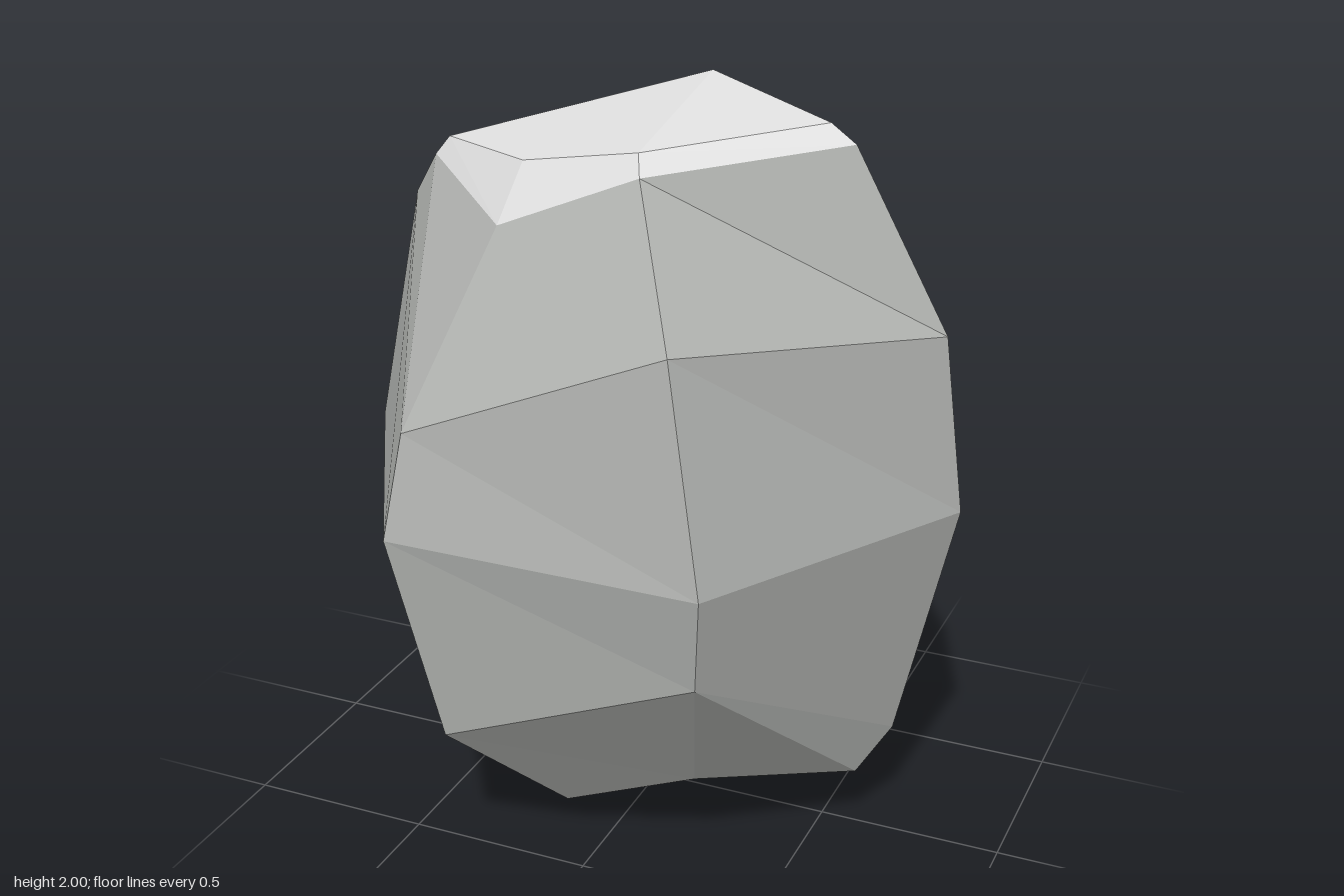
import * as THREE from 'three';

// Six-sided rings from top to bottom; each point is [x, y, z].
// Order around each ring: right, front right, front left, left, back left, back right.
const rings = [
  // rim of the top facet
  [[0.46, 1.955, 0], [0.09, 1.92, 0.32], [-0.24, 1.855, 0.275], [-0.57, 1.825, 0.045], [-0.31, 1.83, -0.41], [0.06, 2, -0.225]],
  // lower edge of the narrow bevel
  [[0.53, 1.91, 0.01], [0.11, 1.87, 0.36], [-0.27, 1.71, 0.365], [-0.61, 1.775, 0.05], [-0.31, 1.78, -0.455], [0.07, 1.965, -0.245]],
  // shoulder
  [[0.78, 1.45, 0], [0.31, 1.55, 0.66], [-0.39, 1.255, 0.67], [-0.7, 1.65, 0], [-0.41, 1.425, -0.695], [0.42, 1.665, -0.435]],
  // widest ring
  [[0.84, 0.985, 0], [0.42, 0.985, 0.73], [-0.42, 0.985, 0.73], [-0.84, 0.985, 0], [-0.42, 0.985, -0.73], [0.42, 0.985, -0.73]],
  // lower flank
  [[0.69, 0.32, 0], [0.39, 0.715, 0.675], [-0.31, 0.42, 0.66], [-0.78, 0.52, 0], [-0.4, 0.285, -0.4], [0.4, 0.55, -0.695]],
  // rim of the base
  [[0.61, 0.195, 0.06], [0.265, 0.26, 0.365], [-0.11, 0.1, 0.36], [-0.53, 0.06, 0.03], [-0.09, 0, -0.23], [0.32, 0.195, -0.46]],
];
const SIDES = 6;

// Facets between neighbouring rings, all split along the same diagonal
function band(first, last) {
  const index = [];
  for (let r = first; r < last; r++) {
    for (let i = 0; i < SIDES; i++) {
      const j = (i + 1) % SIDES;
      const up = r * SIDES, low = up + SIDES;
      index.push(up + i, up + j, low + i, up + j, low + j, low + i);
    }
  }
  return index;
}

// Closes a ring with triangles fanned from one corner
function fan(ring, corner, facesUp) {
  const index = [];
  const at = (k) => ring * SIDES + (corner + k) % SIDES;
  for (let k = 1; k < SIDES - 1; k++) {
    index.push(at(0), facesUp ? at(k + 1) : at(k), facesUp ? at(k) : at(k + 1));
  }
  return index;
}

function facets(name, index, material) {
  const indexed = new THREE.BufferGeometry();
  indexed.setAttribute('position', new THREE.Float32BufferAttribute(rings.flat(2), 3));
  indexed.setIndex(index);
  const geometry = indexed.toNonIndexed();
  geometry.computeVertexNormals();
  const mesh = new THREE.Mesh(geometry, material);
  mesh.name = name;
  return mesh;
}

function stone(name, color) {
  const material = new THREE.MeshStandardMaterial({ color, flatShading: true });
  material.name = name;
  return material;
}

export function createModel() {
  const group = new THREE.Group();
  group.name = 'rock';
  const base = rings.length - 1;
  group.add(
    // Pale top facet with its bevel
    facets('paleCap', [...fan(0, 5, true), ...band(0, 1)], stone('pale grey', 0xe0e0e0)),
    // Flanks and underside
    facets('body', [...band(1, base), ...fan(base, 4, false)], stone('mid grey', 0xb0b2af)),
  );
  return group;
}
